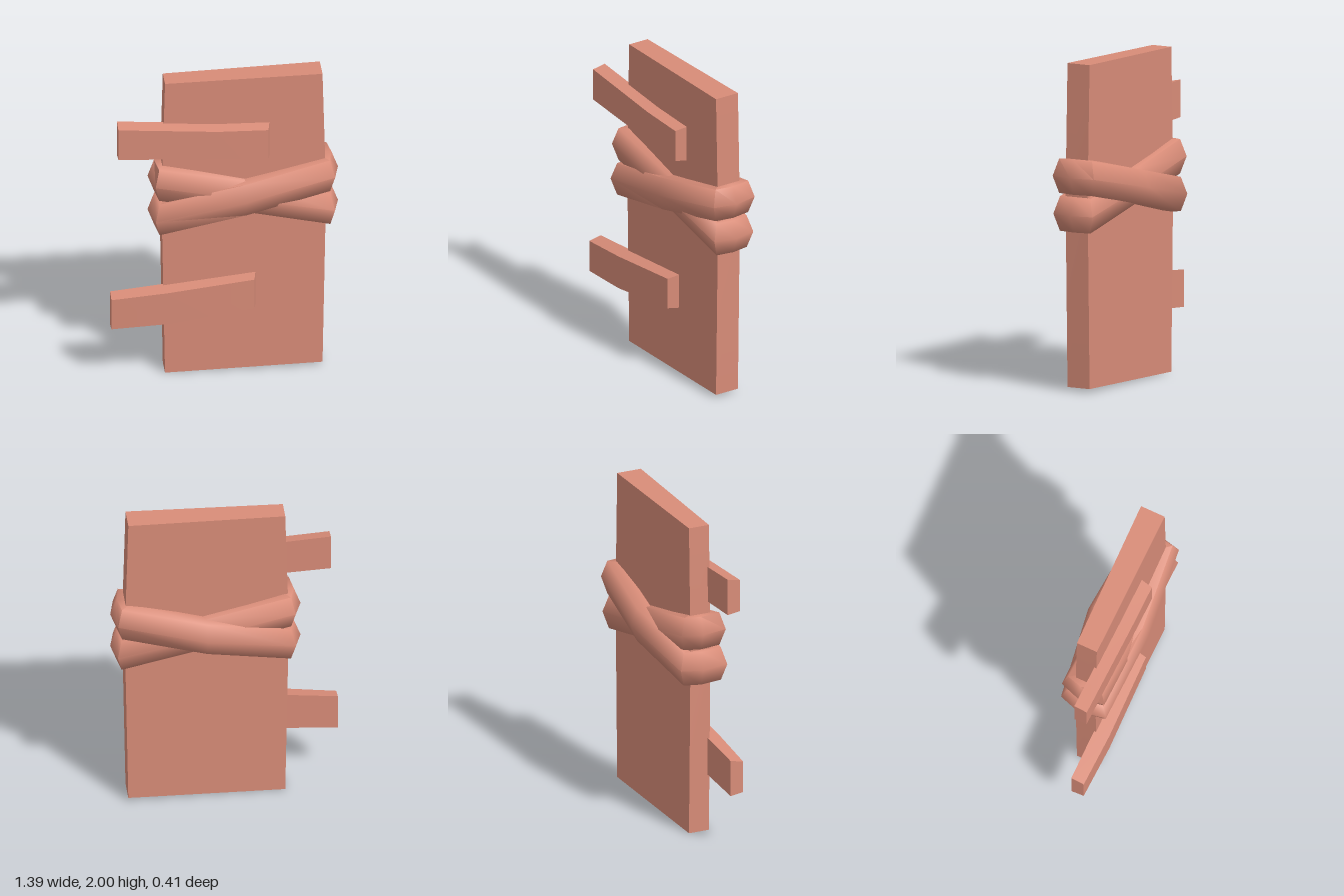
import * as THREE from 'three';
import { mergeVertices, toCreasedNormals } from 'three/addons/utils/BufferGeometryUtils.js';

const material = new THREE.MeshStandardMaterial({ color: 0xd88c78 });

// Skin a list of equal-sized cross-sections; either a closed loop or capped at both ends
function loft(name, rings, closed, crease) {
  const n = rings[0].length;
  const index = [];
  const spans = closed ? rings.length : rings.length - 1;
  for (let r = 0; r < spans; r++) {
    const s = (r + 1) % rings.length;
    for (let i = 0; i < n; i++) {
      const j = (i + 1) % n;
      const a = r * n + i, b = r * n + j, c = s * n + j, d = s * n + i;
      index.push(a, b, c, a, c, d);
    }
  }
  if (!closed) {
    const last = (rings.length - 1) * n;
    for (let i = 1; i < n - 1; i++) {
      index.push(0, i + 1, i, last, last + i, last + i + 1);
    }
  }
  let geometry = new THREE.BufferGeometry();
  geometry.setAttribute('position', new THREE.Float32BufferAttribute(rings.flat(2), 3));
  geometry.setIndex(index);
  geometry = toCreasedNormals(mergeVertices(geometry), crease);
  const mesh = new THREE.Mesh(geometry, material);
  mesh.name = name;
  return mesh;
}

// Batten section: back edge wide, front edge slightly narrower and pulled in at the tip
const battenRing = (x, bottom, top, front, pull = 0) => [
  [x, top, 0.07],
  [x - pull, top - 0.016, front],
  [x - pull, bottom + 0.012, front],
  [x, bottom, 0.07],
];

// Rope loop: outline gives the outermost [x, z] line, height slopes with x
function ropeLoop(name, outline, slope) {
  const section = [[0.13, 0.105], [0.04, 0.105], [0, 0], [0.04, -0.105], [0.13, -0.105]];
  const count = outline.length;
  const rings = outline.map(([x, z], i) => {
    const [px, pz] = outline[(i + count - 1) % count];
    const [nx, nz] = outline[(i + 1) % count];
    const a = new THREE.Vector2(x - px, z - pz).normalize();
    const b = new THREE.Vector2(nx - x, nz - z).normalize();
    const t = a.add(b).normalize();
    const y = 1.2 + slope * THREE.MathUtils.clamp((x - 0.12) / 0.53, -1, 1) * 0.115;
    return section.map(([inward, dy]) => [x + t.y * inward, y + dy, z - t.x * inward]);
  });
  return loft(name, rings, true, 1.3);
}

export function createModel() {
  const group = new THREE.Group();
  group.name = 'boundPlank';

  // Wide plank, slightly bowed at the sides and thicker on its left
  const plankRows = [
    [-0.365, 0.0, 0.59, 0.022],
    [-0.387, 1.2, 0.612, 1.2],
    [-0.365, 1.984, 0.59, 2.0],
  ];
  group.add(loft('plank', plankRows.map(([l, yl, r, yr]) => [
    [l, yl, 0.083], [r, yr, 0.083], [r, yr, -0.075], [l, yl, -0.05],
  ]), false, 0.5));

  // Two short battens across the front
  group.add(loft('upperBatten', [
    battenRing(-0.655, 1.505, 1.735, 0.153),
    battenRing(-0.05, 1.475, 1.693, 0.157),
    battenRing(0.27, 1.46, 1.688, 0.157, 0.015),
  ], false, 0.5));
  group.add(loft('lowerBatten', [
    battenRing(-0.697, 0.342, 0.57, 0.153),
    battenRing(-0.36, 0.365, 0.605, 0.165),
    battenRing(0.185, 0.44, 0.665, 0.157, 0.015),
  ], false, 0.5));

  // Two crossing rope loops, the outer one lying over the inner one
  group.add(ropeLoop('outerRope', [
    [-0.43, 0.175], [0.12, 0.2], [0.66, 0.145], [0.692, 0],
    [0.66, -0.15], [0.12, -0.205], [-0.42, -0.13], [-0.463, 0],
  ], 1));
  group.add(ropeLoop('innerRope', [
    [-0.43, 0.165], [0.12, 0.155], [0.66, 0.14], [0.692, 0],
    [0.66, -0.14], [0.12, -0.145], [-0.42, -0.125], [-0.463, 0],
  ], -1));

  return group;
}
